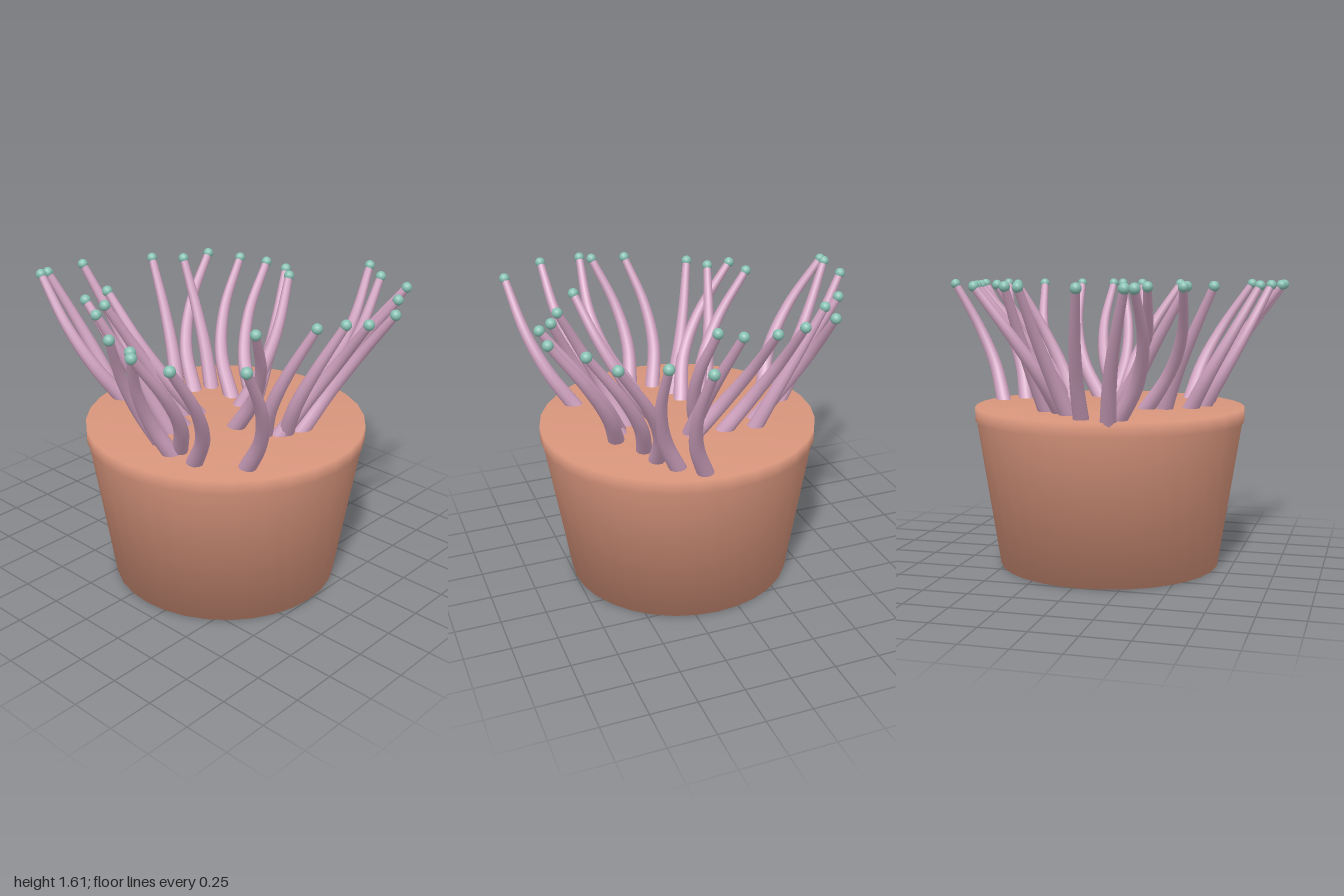
import * as THREE from 'three';

const clay = new THREE.MeshStandardMaterial({ color: 0xd8957c });
clay.name = 'clay';
const stalkPink = new THREE.MeshStandardMaterial({ color: 0xd2a4c2 });
stalkPink.name = 'stalkPink';
const tipGreen = new THREE.MeshStandardMaterial({ color: 0x88c0b2 });
tipGreen.name = 'tipGreen';

const SIDES = 32;

// Smooth lathe whose open end ring is closed by one flat cap sharing the wall's normals
function cappedLathe(profile, axisAtStart) {
  const pts = profile.map(([r, y]) => new THREE.Vector2(r, y));
  const geo = new THREE.LatheGeometry(pts, SIDES);
  const n = pts.length;
  const centre = axisAtStart ? 0 : n - 1;
  const ring = axisAtStart ? 1 : n - 2;
  const old = geo.index.array;
  const index = [];
  for (let i = 0; i < old.length; i += 3) {
    const tri = [old[i], old[i + 1], old[i + 2]];
    if (!tri.some((v) => v % n === centre)) index.push(...tri);
  }
  for (let k = 1; k < SIDES - 1; k++) {
    const a = ring, b = k * n + ring, c = (k + 1) * n + ring;
    if (axisAtStart) index.push(a, c, b);
    else index.push(a, b, c);
  }
  geo.setIndex(index);
  return geo;
}

// Tube that narrows from r0 at the root to r1 at the end
function taperedTube(curve, r0, r1, steps = 24, sides = 10) {
  const geo = new THREE.TubeGeometry(curve, steps, 1, sides);
  const pos = geo.attributes.position;
  const v = new THREE.Vector3();
  for (let i = 0; i <= steps; i++) {
    const c = curve.getPointAt(i / steps);
    const r = THREE.MathUtils.lerp(r0, r1, i / steps);
    for (let j = 0; j <= sides; j++) {
      const k = i * (sides + 1) + j;
      v.fromBufferAttribute(pos, k).sub(c).multiplyScalar(r).add(c);
      pos.setXYZ(k, v.x, v.y, v.z);
    }
  }
  return geo;
}

// Each stalk is root x, z and tip x, z; every group shares one sideways bend
const BENT_BACK = [
  [-0.23, -0.48, -0.43, -0.93], [0.12, -0.27, 0.52, -0.54], [0.2, -0.05, 0.58, -0.34],
  [0.2, 0.13, 0.62, -0.17], [0.4, 0.4, 0.77, 0.7], [0.27, 0.42, 0.56, 0.79],
  [0.11, 0.52, 0.35, 0.92], [-0.01, 0.47, 0.14, 0.91], [-0.09, 0.23, -0.35, 0.6],
  [-0.41, 0.6, -0.74, 0.89], [-0.55, 0.37, -0.96, 0.63], [-0.5, 0.22, -0.97, 0.39],
  [-0.26, 0.02, -0.56, -0.4], [-0.09, -0.03, -0.38, -0.43],
];
const BENT_FORWARD = [
  [0.14, 0.06, 0.5, 0.1], [0.63, 0.21, 0.97, 0.31], [0.53, 0.32, 0.84, 0.48],
  [0.04, 0.48, 0.06, 0.83], [-0.05, 0.41, -0.08, 0.76], [-0.55, 0.23, -0.92, 0.33],
  [-0.5, 0.11, -0.88, 0.14],
];
const NEARLY_STRAIGHT = [
  [-0.21, -0.57, -0.38, -0.93], [-0.05, -0.5, -0.14, -0.91], [0.06, -0.35, 0.22, -0.71],
  [0.22, -0.23, 0.34, -0.57], [0.17, 0.13, 0.59, 0], [-0.37, 0.04, -0.68, -0.18],
  [-0.16, -0.08, -0.55, -0.26],
];

// Path from root to tip: two middle points pushed sideways off the straight line
function stalkCurve([x0, z0, x1, z1], bend) {
  const dx = x1 - x0, dz = z1 - z0;
  const at = (t, y, side) => new THREE.Vector3(x0 + dx * t - dz * side, y, z0 + dz * t + dx * side);
  return new THREE.CatmullRomCurve3([
    at(0, 0.88, 0), at(0.3, 1.1, bend), at(0.62, 1.32, bend), at(1, 1.585, 0),
  ]);
}

export function createModel() {
  const model = new THREE.Group();
  model.name = 'pottedTentacles';
  const add = (parent, name, geo, mat) => {
    const mesh = new THREE.Mesh(geo, mat);
    mesh.name = name;
    parent.add(mesh);
    return mesh;
  };

  // Pot: tapered body with a closed rim on top
  const pot = new THREE.Group();
  pot.name = 'pot';
  pot.position.set(-0.04, 0, 0.12);
  model.add(pot);
  add(pot, 'potBody', cappedLathe([[0, 0], [0.627, 0], [0.757, 0.83]], true), clay);
  add(pot, 'potRim', cappedLathe([[0.75, 0.825], [0.765, 0.825], [0.765, 0.905], [0, 0.905]], false), clay);

  // Stalks with a bead on each tip
  const bead = new THREE.SphereGeometry(0.029, 14, 10);
  const plant = (plans, bend) => {
    for (const plan of plans) {
      const stalk = new THREE.Group();
      stalk.name = 'tentacle';
      const curve = stalkCurve(plan, bend);
      add(stalk, 'stalk', taperedTube(curve, 0.045, 0.022), stalkPink);
      add(stalk, 'tipBead', bead, tipGreen).position.copy(curve.getPoint(1));
      model.add(stalk);
    }
  };
  plant(BENT_BACK, -0.16);
  plant(BENT_FORWARD, 0.17);
  plant(NEARLY_STRAIGHT, 0.04);
  return model;
}
